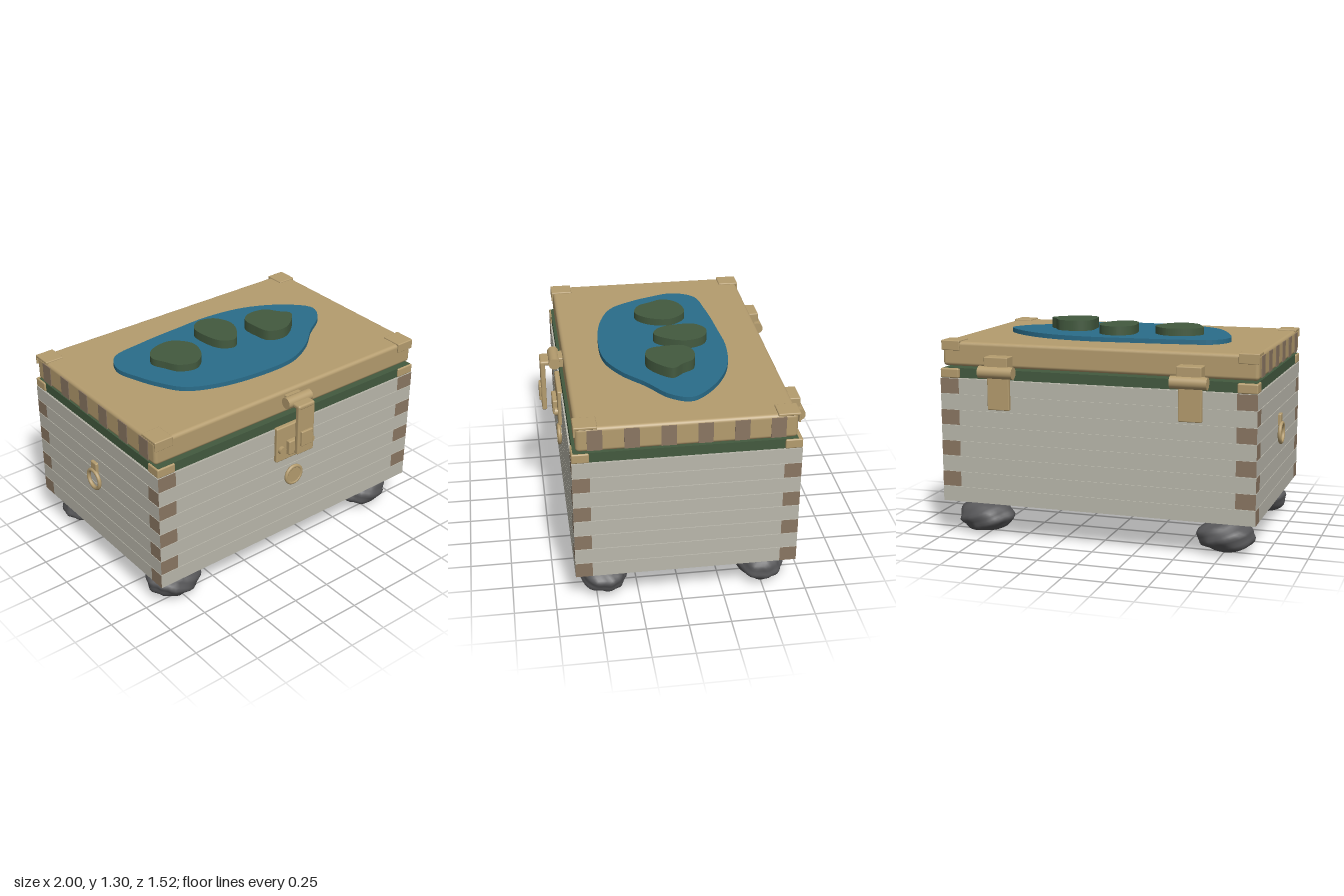
import * as THREE from 'three';
import { mergeVertices } from 'three/addons/utils/BufferGeometryUtils.js';
import { RoundedBoxGeometry } from 'three/addons/geometries/RoundedBoxGeometry.js';

const material = (name, color) => {
  const m = new THREE.MeshStandardMaterial({ color });
  m.name = name;
  return m;
};

export function createModel() {
  const root = new THREE.Group();
  root.name = 'chest';
  const tan = material('tan trim', 0xb49c6e);
  const plank = material('weathered plank', 0xbab8ac);
  const endGrain = material('brown end grain', 0x8a7662);
  const green = material('moss green', 0x435a3f);
  const blue = material('water blue', 0x2a6d8a);
  const stone = material('dark stone', 0x58585a);

  const add = (name, geo, mat, x = 0, y = 0, z = 0, parent = root) => {
    const m = new THREE.Mesh(geo, mat);
    m.name = name;
    m.position.set(x, y, z);
    parent.add(m);
    return m;
  };
  // Box given by its limits on each axis; r rounds the edges
  const block = (name, mat, [x0, x1], [y0, y1], [z0, z1], r = 0, parent = root) => {
    const s = [x1 - x0, y1 - y0, z1 - z0];
    const geo = r ? new RoundedBoxGeometry(...s, 3, r) : new THREE.BoxGeometry(...s);
    return add(name, geo, mat, (x0 + x1) / 2, (y0 + y1) / 2, (z0 + z1) / 2, parent);
  };
  // Cylinder lying along x or z
  const rod = (name, mat, r, len, axis, x, y, z, parent = root) => {
    const geo = new THREE.CylinderGeometry(r, r, len, 32);
    if (axis === 'x') geo.rotateZ(Math.PI / 2);
    else geo.rotateX(Math.PI / 2);
    return add(name, geo, mat, x, y, z, parent);
  };

  const X0 = -0.97, X1 = 0.995, Z0 = -0.68, Z1 = 0.63;
  const BOTTOM = 0.22, ROWS = 8, ROW = 0.0965, TX = 0.12, TZ = 0.1;

  // Finger-jointed plank walls around a solid core
  const walls = new THREE.Group();
  walls.name = 'plankWalls';
  root.add(walls);
  block('core', plank, [X0 + 0.006, X1 - 0.006], [BOTTOM + 0.002, 0.99], [Z0 + 0.006, Z1 - 0.006], 0, walls);
  const endsX = [endGrain, endGrain, plank, plank, plank, plank];
  const endsZ = [plank, plank, plank, plank, endGrain, endGrain];
  for (let i = 0; i < ROWS; i++) {
    const y = [BOTTOM + i * ROW, BOTTOM + (i + 1) * ROW - 0.004];
    const long = i % 2 === 0;
    const xs = long ? [X0, X1] : [X0 + TX, X1 - TX];
    const zs = long ? [Z0 + TZ, Z1 - TZ] : [Z0, Z1];
    block('frontPlank', long ? endsX : plank, xs, y, [Z1 - TZ, Z1], 0, walls);
    block('backPlank', long ? endsX : plank, xs, y, [Z0, Z0 + TZ], 0, walls);
    block('rightPlank', long ? plank : endsZ, [X0, X0 + TX], y, zs, 0, walls);
    block('leftPlank', long ? plank : endsZ, [X1 - TX, X1], y, zs, 0, walls);
  }

  // Base panel and green rim
  block('base', tan, [-0.89, 0.915], [0.187, 0.23], [-0.58, 0.54], 0.015);
  block('rim', green, [X0 + 0.01, X1 - 0.01], [0.985, 1.05], [-0.655, 0.62]);

  // Lid
  block('lid', tan, [X0 + 0.003, X1 - 0.003], [1.06, 1.21], [-0.648, 0.604], 0.022);
  for (let i = 0; i < 6; i++) {
    const z = 0.497 - i * 0.2065;
    for (const x of [X0 + 0.002, X1 - 0.002])
      block('lidStripe', endGrain, [x - 0.003, x + 0.003], [1.07, 1.195], [z - 0.043, z + 0.043]);
  }

  // Corner pieces on the rim and the lid
  for (const xs of [[X0, X0 + TX], [X1 - TX, X1]]) {
    for (const zs of [[Z0, Z0 + TZ], [Z1 - TZ, Z1]])
      block('rimCorner', tan, xs, [0.99, 1.048], zs, 0.008);
    for (const [z0, z1, lip] of [[-0.658, -0.53, -0.653], [0.48, 0.613, 0.608]]) {
      block('lidCornerTop', tan, xs, [1.2, 1.218], [z0, z1], 0.006);
      block('lidCornerLip', tan, xs, [1.157, 1.216], [lip - 0.006, lip + 0.006], 0.004);
    }
  }

  // Stone feet: lumpy flattened balls
  const foot = (seed) => {
    let geo = new THREE.IcosahedronGeometry(1, 6);
    geo.deleteAttribute('uv');
    geo.deleteAttribute('normal');
    geo = mergeVertices(geo, 1e-4);
    const p = geo.attributes.position;
    const v = new THREE.Vector3();
    for (let i = 0; i < p.count; i++) {
      v.fromBufferAttribute(p, i);
      const n = 0.05 * Math.sin(4 * v.x + seed) * Math.cos(3.5 * v.z - seed)
        + 0.035 * Math.sin(8 * v.y + 5 * v.x + 2 * seed) + 0.025 * Math.sin(11 * v.z + 7 * v.x + seed);
      v.multiplyScalar(0.97 + n);
      p.setXYZ(i, v.x * 0.178, v.y * 0.104, v.z * 0.15);
    }
    geo.computeVertexNormals();
    geo.computeBoundingBox();
    return geo.translate(0, -geo.boundingBox.min.y, 0);
  };
  let seed = 1;
  for (const x of [-0.76, 0.787])
    for (const z of [-0.505, 0.455]) add('stoneFoot', foot(seed++), stone, x, 0, z);

  // Pond and islands: closed curves seen from above, raised into slabs
  const slab = (name, mat, pts, y0, y1) => {
    const curve = new THREE.CatmullRomCurve3(pts.map(([x, z]) => new THREE.Vector3(x, -z, 0)), true);
    const shape = new THREE.Shape(curve.getPoints(96).slice(0, -1).map((q) => new THREE.Vector2(q.x, q.y)));
    const geo = new THREE.ExtrudeGeometry(shape, { depth: y1 - y0, bevelEnabled: false });
    add(name, geo.rotateX(-Math.PI / 2), mat, 0, y0, 0);
  };
  slab('pond', blue, [[-0.69, -0.18], [-0.62, -0.31], [-0.4, -0.355], [-0.1, -0.38], [0.15, -0.39],
    [0.42, -0.345], [0.65, -0.22], [0.765, -0.08], [0.71, 0.04], [0.55, 0.155], [0.4, 0.28],
    [0.22, 0.365], [0, 0.38], [-0.3, 0.34], [-0.5, 0.25], [-0.59, 0.12], [-0.65, -0.02]], 1.2, 1.238);
  slab('island', green, [[-0.5, -0.09], [-0.44, -0.175], [-0.29, -0.2], [-0.2, -0.11], [-0.195, -0.04],
    [-0.24, 0.06], [-0.32, 0.115], [-0.42, 0.08], [-0.465, 0]], 1.21, 1.283);
  slab('island', green, [[0, -0.29], [0.1, -0.26], [0.148, -0.15], [0.11, -0.04], [0.03, 0.04],
    [-0.05, 0], [-0.085, -0.11], [-0.08, -0.23]], 1.21, 1.293);
  slab('island', green, [[0.23, -0.11], [0.3, -0.16], [0.42, -0.145], [0.47, -0.075], [0.52, -0.01],
    [0.46, 0.07], [0.35, 0.13], [0.25, 0.1], [0.225, 0]], 1.21, 1.303);

  // Front latch
  const latch = new THREE.Group();
  latch.name = 'latch';
  root.add(latch);
  const CX = 0.013;
  block('latchPlate', tan, [CX - 0.145, CX + 0.145], [0.765, 1.0], [0.62, 0.652], 0.008, latch);
  block('latchCatch', tan, [CX - 0.07, CX + 0.07], [0.805, 0.9], [0.645, 0.68], 0.008, latch);
  block('latchBracket', tan, [CX - 0.055, CX + 0.055], [1.12, 1.185], [0.595, 0.65], 0.008, latch);
  rod('latchBarrel', tan, 0.035, 0.18, 'x', CX, 1.163, 0.657, latch);
  block('latchArm', tan, [CX - 0.062, CX + 0.062], [1.14, 1.17], [0.665, 0.745], 0.012, latch);
  block('latchStrap', tan, [CX - 0.062, CX + 0.062], [0.838, 1.165], [0.713, 0.743], 0.008, latch);
  block('latchTab', tan, [CX - 0.043, CX + 0.043], [0.895, 0.995], [0.735, 0.757], 0.006, latch);
  for (const s of [-1, 1]) rod('latchRivet', tan, 0.025, 0.025, 'z', CX + s * 0.11, 0.848, 0.66, latch);

  // Round front stud with a raised edge
  rod('frontStud', tan, 0.055, 0.04, 'z', CX, 0.625, 0.632);
  add('frontStudEdge', new THREE.TorusGeometry(0.058, 0.011, 12, 40), tan, CX, 0.625, 0.645);

  // Back hinges
  for (const x of [-0.58, 0.607]) {
    const hinge = new THREE.Group();
    hinge.name = 'hinge';
    root.add(hinge);
    block('hingeTop', tan, [x - 0.075, x + 0.075], [1.065, 1.138], [-0.735, -0.64], 0.006, hinge);
    rod('hingeBarrel', tan, 0.037, 0.22, 'x', x, 1.045, -0.724, hinge);
    block('hingeLeaf', tan, [x - 0.07, x + 0.07], [0.812, 1.04], [-0.704, -0.675], 0.006, hinge);
  }

  // Ring pull on the right side
  const ring = new THREE.TorusGeometry(0.06, 0.012, 12, 40).rotateY(Math.PI / 2);
  add('pullRing', ring, tan, -0.987, 0.645, -0.03);
  block('ringMount', tan, [-0.988, -0.96], [0.69, 0.765], [-0.06, 0], 0.008);

  return root;
}
